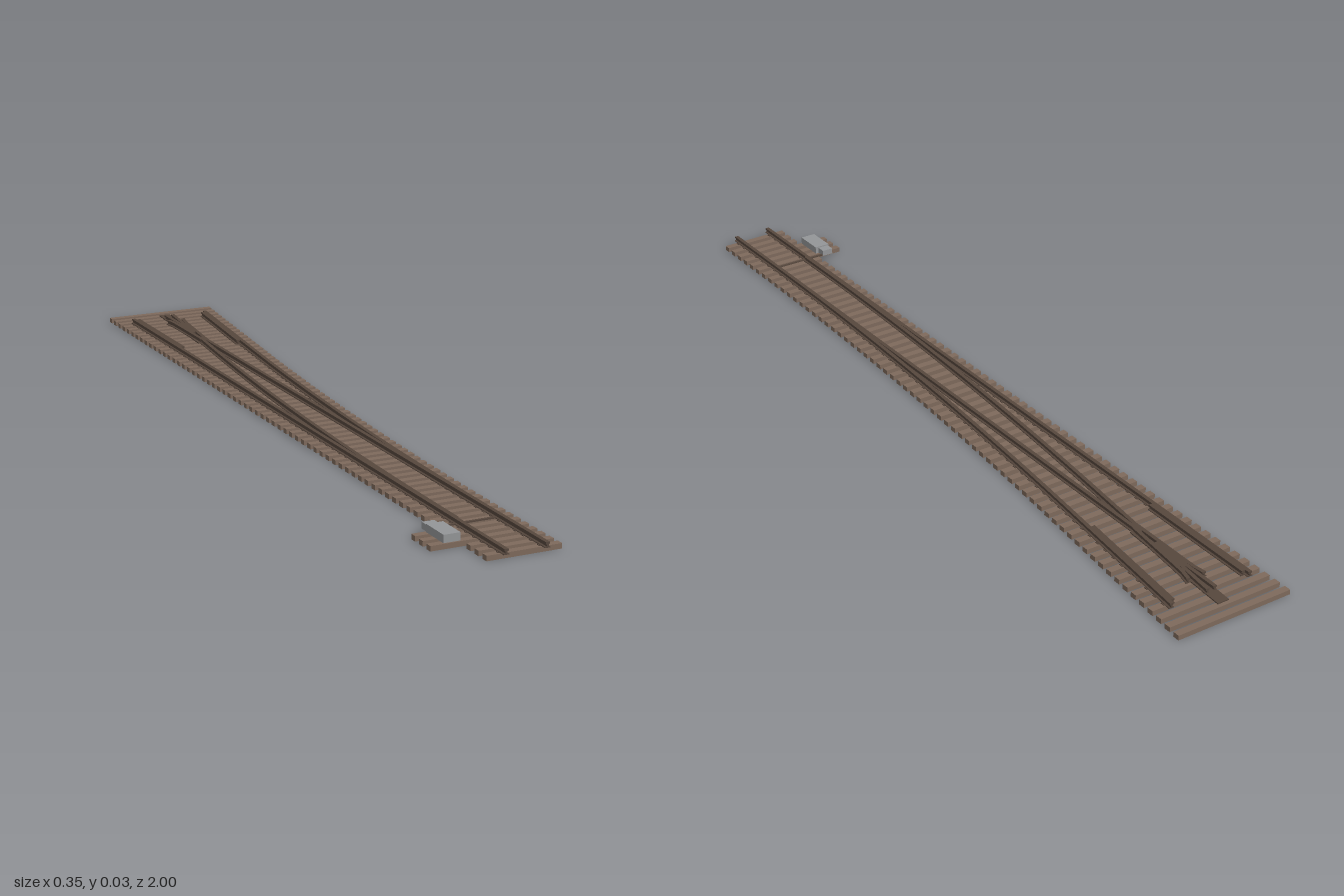
import * as THREE from 'three';

const wood = new THREE.MeshStandardMaterial({ name: 'wood', color: 0x7e6a5c });
const rust = new THREE.MeshStandardMaterial({ name: 'rustyRail', color: 0x56473d });
const grey = new THREE.MeshStandardMaterial({ name: 'greyMetal', color: 0x949698 });

const LEFT = -0.07, RIGHT = 0.02, TIE_TOP = 0.011;

// Sideways offset of the diverging track: parabola, then straight
function diverge(z) {
  if (z > 0.8) return 0;
  if (z > -0.5) return 0.039 * (0.8 - z) ** 2;
  return 0.0659 + 0.1014 * (-0.5 - z);
}

function box(group, name, mat, x0, x1, y0, y1, z0, z1) {
  const m = new THREE.Mesh(new THREE.BoxGeometry(x1 - x0, y1 - y0, z1 - z0), mat);
  m.position.set((x0 + x1) / 2, (y0 + y1) / 2, (z0 + z1) / 2);
  m.name = name;
  group.add(m);
}

// Symmetric cross-section from the points of its right half, bottom to top
function profile(half) {
  const pts = half.concat(half.map(([x, y]) => [-x, y]).reverse());
  return new THREE.Shape(pts.map(([x, y]) => new THREE.Vector2(x, y)));
}

// Foot, web and head of a rail; flat slab under the frog
const RAIL = profile([[0.006, 0.0115], [0.006, 0.013], [0.002, 0.0142], [0.002, 0.0182], [0.0045, 0.0195], [0.0045, 0.0232]]);
const SLAB = profile([[0.014, TIE_TOP], [0.014, 0.0135]]);

// Extrude along z, then shift each section sideways along the path
function sweep(group, name, shape, zBack, zFront, path) {
  const depth = zFront - zBack;
  const geo = new THREE.ExtrudeGeometry(shape, {
    depth, steps: Math.max(8, Math.ceil(depth * 30)), bevelEnabled: false,
  });
  geo.translate(0, 0, zBack);
  const p = geo.attributes.position;
  for (let i = 0; i < p.count; i++) p.setX(i, p.getX(i) + path(p.getZ(i)));
  geo.computeVertexNormals();
  const m = new THREE.Mesh(geo, rust);
  m.name = name;
  group.add(m);
}

export function createModel() {
  const root = new THREE.Group();
  root.name = 'railwayTurnout';

  // Ties, growing longer toward the diverging end; three carry the switch machine
  const ties = new THREE.Group();
  ties.name = 'ties';
  const plates = new THREE.Group();
  plates.name = 'tiePlates';
  const count = 65, pitch = 1.972 / (count - 1);
  for (let i = 0; i < count; i++) {
    const z = 0.98 - i * pitch;
    const x0 = i >= 3 && i <= 5 ? -0.176 : -0.106;
    box(ties, 'tie', wood, x0, 0.059 + diverge(z), 0, TIE_TOP, z - 0.008, z + 0.008);
    if (z < -0.93) continue;
    for (const x of [LEFT, RIGHT + diverge(z)]) {
      box(plates, 'tiePlate', rust, x - 0.009, x + 0.009, TIE_TOP, 0.0122, z - 0.005, z + 0.005);
    }
  }
  root.add(ties, plates);

  // Running rails
  const rails = new THREE.Group();
  rails.name = 'rails';
  const rail = (name, zBack, zFront, path) => sweep(rails, name, RAIL, zBack, zFront, path);
  rail('straightStockRail', -0.92, 1, () => LEFT);
  rail('curvedStockRail', -0.92, 1, z => RIGHT + diverge(z));
  rail('curvedClosureRail', -0.68, 0.8, z => LEFT + 0.003 + diverge(z) - 0.003 * Math.min(1, 0.8 - z));
  rail('straightClosureRail', -0.68, 0.8, () => RIGHT);

  // Frog: slab, two nose rails and a wing rail on each side, flared at the back
  sweep(rails, 'frogSlab', SLAB, -0.96, -0.66, z => (LEFT + RIGHT + diverge(z)) / 2);
  rail('frogStraightNose', -0.92, -0.73, () => RIGHT);
  rail('frogCurvedNose', -0.92, -0.73, z => LEFT + diverge(z));
  const flare = z => 0.15 * Math.max(0, -0.84 - z);
  rail('leftWingRail', -0.87, -0.66, z => Math.min(LEFT + diverge(z), RIGHT - 0.009) - flare(z));
  rail('rightWingRail', -0.87, -0.66, z => Math.max(RIGHT, LEFT + 0.009 + diverge(z)) + flare(z));

  // Guard rails inside the outer rails
  rail('leftGuardRail', -0.91, -0.61, () => LEFT + 0.009);
  rail('rightGuardRail', -0.91, -0.61, z => RIGHT - 0.009 + diverge(z));
  root.add(rails);

  // Switch machine with its throw rod
  const machine = new THREE.Group();
  machine.name = 'switchMachine';
  box(machine, 'machineHousing', grey, -0.146, -0.109, TIE_TOP, 0.028, 0.822, 0.892);
  box(machine, 'motorHousing', grey, -0.144, -0.117, TIE_TOP, 0.025, 0.8, 0.822);
  box(machine, 'throwRod', rust, -0.125, 0.022, 0.0105, 0.0135, 0.803, 0.809);
  root.add(machine);

  return root;
}
